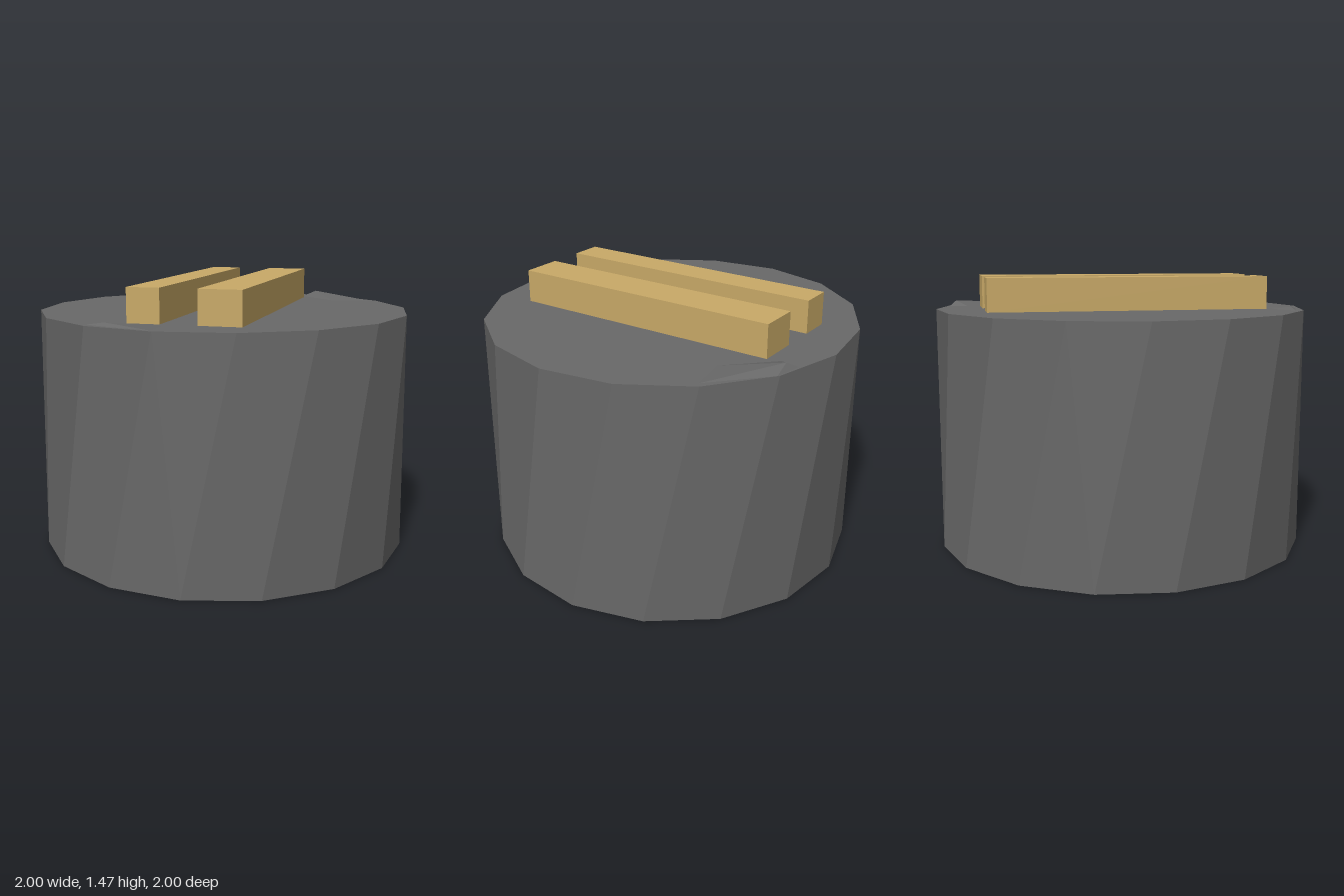
import * as THREE from 'three';

const H = 1.29, SIDES = 16, STEP = (Math.PI * 2) / SIDES;
const BOTTOM = THREE.MathUtils.degToRad(3.6), TWIST = THREE.MathUtils.degToRad(15.3);

// Geometry from a list of triangles; each may carry a shared normal
function fromTriangles(tris) {
  const geo = new THREE.BufferGeometry().setFromPoints(tris.flat());
  geo.computeVertexNormals();
  return geo;
}

// Drum whose top ring is turned against its bottom ring
function twistedDrum() {
  const ring = (k, y, start) => {
    const a = start + k * STEP;
    return new THREE.Vector3(Math.sin(a), y, Math.cos(a));
  };
  const sides = [], caps = [];
  for (let k = 0; k < SIDES; k++) {
    const b0 = ring(k, 0, BOTTOM), b1 = ring(k + 1, 0, BOTTOM);
    const t0 = ring(k, H, BOTTOM + TWIST), t1 = ring(k + 1, H, BOTTOM + TWIST);
    sides.push([b0, b1, t0], [b1, t1, t0]);
    caps.push([new THREE.Vector3(0, H, 0), t0, t1], [new THREE.Vector3(), b1, b0]);
  }
  const wall = fromTriangles(sides);
  // one shared normal per slanted panel
  const n = wall.attributes.normal;
  for (let i = 0; i < n.count; i++) {
    const a = BOTTOM + TWIST / 2 + (Math.floor(i / 6) + 0.5) * STEP;
    n.setXYZ(i, Math.sin(a), 0, Math.cos(a));
  }
  return [wall, fromTriangles(caps)];
}

// Shallow faceted swelling: a fan from a peak to a rim lying on the top
function swelling(peak, rim) {
  const p = new THREE.Vector3(...peak);
  const pts = rim.map(([x, z]) => new THREE.Vector3(x, H, z));
  return fromTriangles(pts.map((v, i) => [p, v, pts[(i + 1) % pts.length]]));
}

export function createModel() {
  const model = new THREE.Group();
  const grey = new THREE.MeshStandardMaterial({ color: 0x686868 });
  const tan = new THREE.MeshStandardMaterial({ color: 0xc8a967 });
  const add = (name, geo, mat) => {
    const mesh = new THREE.Mesh(geo, mat);
    mesh.name = name;
    model.add(mesh);
    return mesh;
  };

  // Drum
  const [wall, caps] = twistedDrum();
  add('drumWall', wall, grey);
  add('drumCaps', caps, grey);

  // Slight swellings near the front and back rim (rims run counterclockwise from above)
  add('backSwelling', swelling([0.35, 1.32, -0.88],
    [[0.3, -0.92], [0.28, -0.82], [0.5, -0.6], [0.72, -0.64], [0.45, -0.89]]), grey);
  add('frontSwelling', swelling([-0.35, 1.305, 0.86],
    [[-0.45, 0.85], [-0.3, 0.91], [-0.08, 0.97], [-0.08, 0.8], [-0.3, 0.78]]), grey);

  // Two bars of unequal width lying across the top
  for (const [name, x0, x1] of [['narrowBar', -0.28, -0.11], ['wideBar', 0.08, 0.3]]) {
    add(name, new THREE.BoxGeometry(x1 - x0, 0.175, 1.5), tan)
      .position.set((x0 + x1) / 2, H + 0.0875, 0);
  }
  return model;
}
